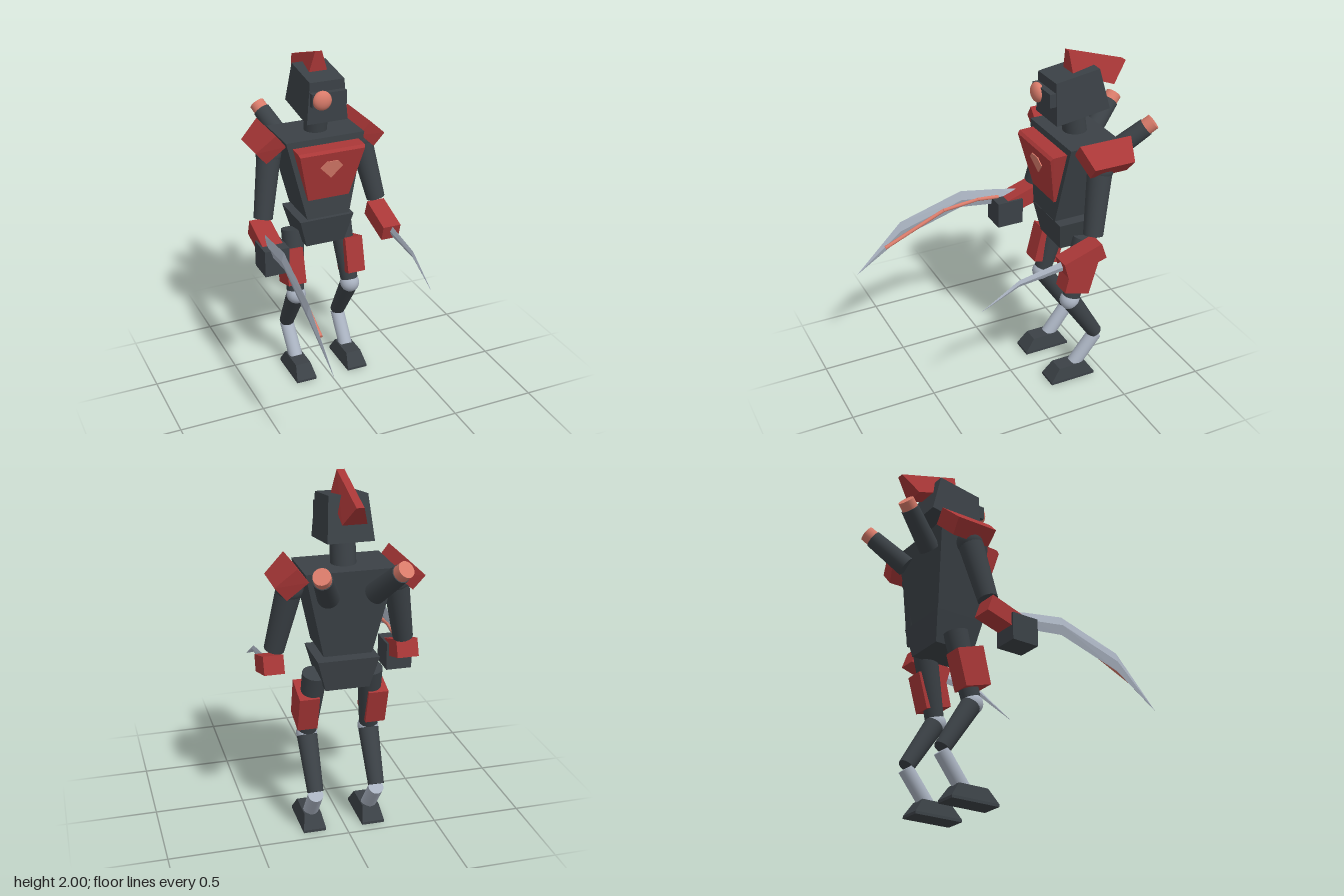
import * as THREE from 'three';
import { ConvexGeometry } from 'three/addons/geometries/ConvexGeometry.js';

const CX = 0.01; // body centre line
const material = (name, color) => {
  const m = new THREE.MeshStandardMaterial({ color });
  m.name = name;
  return m;
};
const V = (x, y, z) => new THREE.Vector3(x, y, z);

export function createModel() {
  const dark = material('charcoal', 0x3b4146);
  const red = material('armourRed', 0xa93737);
  const glow = material('salmon', 0xd97b6a);
  const steel = material('paleSteel', 0xa9b2c0);

  const model = new THREE.Group();
  model.name = 'robot';

  const add = (name, geometry, mat, parent = model) => {
    const mesh = new THREE.Mesh(geometry, mat);
    mesh.name = name;
    parent.add(mesh);
    return mesh;
  };
  const group = (name) => {
    const g = new THREE.Group();
    g.name = name;
    model.add(g);
    return g;
  };

  // Tapered block from a side profile of [z, y, half width]
  const block = (name, cx, profile, mat, parent) =>
    add(name, new ConvexGeometry(profile.flatMap(([z, y, h]) => [V(cx - h, y, z), V(cx + h, y, z)])), mat, parent);

  // Tapered round limb between two points
  const limb = (name, a, b, ra, rb, mat, parent) => {
    const dir = b.clone().sub(a);
    const mesh = add(name, new THREE.CylinderGeometry(rb, ra, dir.length(), 24), mat, parent);
    mesh.position.copy(a).addScaledVector(dir, 0.5);
    mesh.quaternion.setFromUnitVectors(V(0, 1, 0), dir.normalize());
    return mesh;
  };
  const ball = (name, p, r, mat, parent) => {
    const mesh = add(name, new THREE.SphereGeometry(r, 24, 16), mat, parent);
    mesh.position.copy(p);
    return mesh;
  };

  // Blade through sections of [z, top y, bottom y, x, half thickness]
  const blade = (name, sections, parent) => {
    const rings = sections.map(([z, top, bottom, x, t]) => [
      V(x, top, z), V(x, bottom, z),
      V(x - t, (top + bottom) / 2, z), V(x + t, (top + bottom) / 2, z),
    ]);
    for (let i = 0; i + 1 < rings.length; i++)
      add(name + (i + 1), new ConvexGeometry([...rings[i], ...rings[i + 1]]), steel, parent);
  };

  // Head, visor, eye, crest and neck
  const head = group('head');
  block('skull', CX, [[-0.21, 1.867, 0.102], [-0.47, 1.905, 0.102], [-0.53, 1.676, 0.122], [-0.21, 1.63, 0.122]], dark, head);
  block('visor', CX, [[-0.175, 1.812, 0.103], [-0.22, 1.812, 0.103], [-0.22, 1.735, 0.103], [-0.175, 1.735, 0.103]], dark, head);
  ball('eye', V(-0.035, 1.772, -0.175), 0.055, glow, head).scale.z = 0.6;
  block('crest', CX, [[-0.325, 2.0, 0.02], [-0.678, 1.89, 0.02], [-0.585, 1.783, 0.064], [-0.335, 1.88, 0.055]], red, head);
  limb('neck', V(CX, 1.5, -0.39), V(CX, 1.645, -0.367), 0.067, 0.067, dark, head);

  // Torso, chest plate, gem and pelvis
  const torso = group('torso');
  block('ribcage', CX, [[-0.235, 1.53, 0.237], [-0.54, 1.53, 0.237], [-0.485, 1.06, 0.13], [-0.205, 1.06, 0.13]], dark, torso);
  block('chestPlate', CX, [[-0.135, 1.475, 0.195], [-0.15, 1.49, 0.2], [-0.26, 1.495, 0.2], [-0.26, 1.18, 0.125], [-0.198, 1.18, 0.125]], red, torso);
  const plateZ = (y) => -0.135 - 0.217 * (1.475 - y);
  const gem = [[-0.068, 1.387], [-0.034, 1.424], [0.034, 1.424], [0.068, 1.387], [0, 1.316]];
  add('chestGem', new ConvexGeometry(gem.flatMap(([x, y]) =>
    [V(CX + x, y, plateZ(y) + 0.006), V(CX + x, y, plateZ(y) - 0.003)])), glow, torso);
  block('pelvis', CX, [[-0.22, 1.04, 0.166], [-0.51, 1.04, 0.166], [-0.485, 0.867, 0.119], [-0.25, 0.867, 0.119]], dark, torso);

  for (const s of [1, -1]) {
    const side = s > 0 ? 'left' : 'right';
    const P = (x, y, z) => V(CX + s * x, y, z);

    // Shoulder, pauldron and upper arm
    const arm = group(side + 'Arm');
    ball('shoulder', P(0.285, 1.42, -0.39), 0.073, dark, arm);
    const pauldron = [[0.285, 1.575, 0.155], [0.394, 1.475, 0.12], [0.33, 1.4, 0.112], [0.225, 1.5, 0.152]];
    add('pauldron', new ConvexGeometry(pauldron.flatMap(([x, y, h]) =>
      [P(x, y, -0.415 - h), P(x, y, -0.415 + h)])), red, arm);
    limb('upperArm', P(0.28, 1.44, -0.392), P(0.355, 1.065, -0.32), 0.07, 0.055, dark, arm);

    // Back thruster with glowing tip
    const thruster = group(side + 'Thruster');
    const a = P(0.122, 1.405, -0.545), b = P(0.212, 1.59, -0.755);
    const neck = a.clone().lerp(b, 0.83);
    limb('thrusterTube', a, neck, 0.058, 0.05, dark, thruster);
    limb('thrusterTip', neck, b, 0.045, 0.045, glow, thruster);

    // Leg and foot
    const leg = group(side + 'Leg');
    limb('thigh', P(0.152, 0.93, -0.385), P(0.175, 0.57, -0.3), 0.068, 0.052, dark, leg);
    block('thighGuard', CX + s * 0.19, [[-0.27, 0.855, 0.055], [-0.43, 0.8, 0.055], [-0.373, 0.6, 0.055], [-0.22, 0.645, 0.055]], red, leg);
    ball('knee', P(0.175, 0.542, -0.29), 0.058, steel, leg);
    limb('shin', P(0.175, 0.53, -0.3), P(0.172, 0.265, -0.466), 0.056, 0.044, dark, leg);
    limb('ankleStrut', P(0.171, 0.25, -0.47), P(0.168, 0.075, -0.335), 0.042, 0.042, steel, leg);
    block('foot', CX + s * 0.168, [[-0.215, 0.09, 0.047], [-0.39, 0.09, 0.047], [-0.44, 0.015, 0.063],
      [-0.44, 0, 0.063], [-0.157, 0, 0.063], [-0.157, 0.015, 0.063]], dark, leg);
  }

  // Left gauntlet with short blade
  const gauntlet = [[-0.114, 0.96], [-0.34, 1.035], [-0.373, 0.94], [-0.14, 0.87]];
  const left = group('leftWeapon');
  block('leftGauntlet', 0.375, gauntlet.map(([z, y]) => [z, y, 0.055]), red, left);
  blade('shortBlade', [[-0.15, 0.96, 0.895, 0.379, 0.012], [0.135, 0.91, 0.87, 0.385, 0.009], [0.355, 0.776, 0.774, 0.385, 0.001]], left);

  // Right gauntlet, fist and long curved blade
  const right = group('rightWeapon');
  block('rightGauntlet', -0.362, gauntlet.map(([z, y]) => [z, y + 0.02, 0.06]), red, right);
  const fist = add('rightFist', new THREE.BoxGeometry(0.145, 0.155, 0.16), dark, right);
  fist.position.set(-0.362, 0.908, -0.142);
  blade('longBlade', [[-0.22, 1.015, 0.965, -0.375, 0.01], [-0.1, 1.035, 0.94, -0.385, 0.014], [0.13, 1.07, 0.965, -0.395, 0.015],
    [0.505, 0.95, 0.845, -0.408, 0.012], [0.785, 0.682, 0.68, -0.395, 0.001]], right);
  // Glowing vein along the inner face of the blade
  const vein = [V(-0.372, 0.99, -0.1), V(-0.38, 1.0, 0.03), V(-0.386, 0.975, 0.245), V(-0.39, 0.815, 0.61)];
  for (let i = 0; i < 3; i++) limb('bladeVein' + (i + 1), vein[i], vein[i + 1], 0.011, 0.011, glow, right);

  return model;
}
